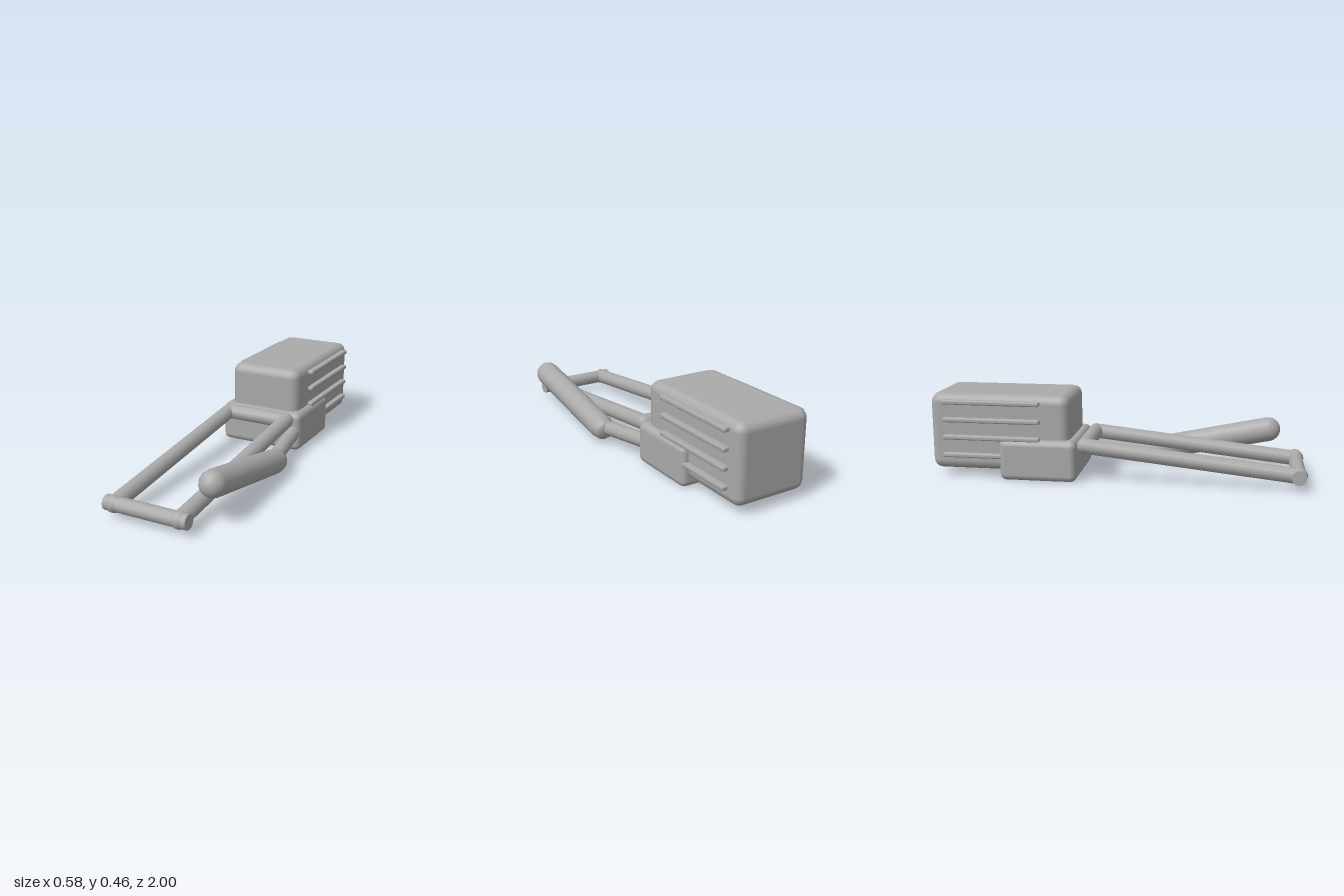
import * as THREE from 'three';
import { RoundedBoxGeometry } from 'three/addons/geometries/RoundedBoxGeometry.js';

export function createModel() {
  const model = new THREE.Group();
  model.name = 'poweredHandTool';
  const grey = new THREE.MeshStandardMaterial({ color: 0xaaaaaa });
  grey.name = 'plainGrey';
  const up = new THREE.Vector3(0, 1, 0);

  function add(name, geometry, x = 0, y = 0, z = 0) {
    const mesh = new THREE.Mesh(geometry, grey);
    mesh.name = name;
    mesh.position.set(x, y, z);
    model.add(mesh);
    return mesh;
  }

  // Rounded box given by its lower and upper corners
  function block(name, lo, hi, radius, segments = 2) {
    const size = hi.map((v, i) => v - lo[i]);
    const mid = hi.map((v, i) => (v + lo[i]) / 2);
    return add(name, new RoundedBoxGeometry(...size, segments, radius), ...mid);
  }

  // Round bar between two points
  function bar(name, a, b, radius, sides = 12) {
    const from = new THREE.Vector3(...a), to = new THREE.Vector3(...b);
    const dir = to.clone().sub(from);
    const mesh = add(name, new THREE.CylinderGeometry(radius, radius, dir.length(), sides),
      ...from.clone().add(to).multiplyScalar(0.5).toArray());
    mesh.quaternion.setFromUnitVectors(up, dir.normalize());
    return mesh;
  }

  // Motor housing and the gearbox under it
  block('motorHousing', [-0.257, 0.045, -1], [0.16, 0.46, -0.24], 0.05);
  block('gearbox', [-0.295, 0.003, -0.615], [0.195, 0.225, -0.2], 0.034);

  // Cooling ribs on both sides of the housing
  const centreX = -0.0485;
  for (const side of [-1, 1]) {
    for (const y of [0.418, 0.322, 0.227, 0.13]) {
      const x = centreX + side * 0.218;
      block('coolingRib', [x - 0.0195, y - 0.0125, -0.925], [x + 0.0195, y + 0.0125, -0.395], 0.009, 1);
    }
  }

  // Sloping rectangular frame
  const rear = { y: 0.195, z: -0.163 }, front = { y: 0.077, z: 0.955 };
  const leftX = 0.131, rightX = -0.232;
  for (const x of [leftX, rightX]) {
    bar('frameRail', [x, rear.y, rear.z], [x, front.y, front.z], 0.042);
    add('rearCorner', new THREE.SphereGeometry(0.042, 12, 8), x, rear.y, rear.z);
    add('frontCorner', new THREE.SphereGeometry(0.045, 12, 8), x, front.y, front.z);
  }
  bar('rearCrossbar', [rightX, rear.y, rear.z], [leftX, rear.y, rear.z], 0.042);
  bar('frontCrossbar', [-0.278, front.y, front.z], [0.182, front.y, front.z], 0.039);

  // Side arm joining the gearbox to the grip
  bar('gripArm', [0.148, 0.113, -0.25], [0.2, 0.083, 0.13], 0.04);

  // Grip: blunt rear end, domed front end
  const start = new THREE.Vector3(0.213, 0.068, 0.09);
  const end = new THREE.Vector3(0.222, 0.229, 0.87);
  const axis = end.clone().sub(start);
  const length = axis.length(), r = 0.069;
  const profile = [[0, 0], [0.038, 0], [0.058, 0.022], [0.067, 0.065]]
    .map(p => new THREE.Vector2(...p));
  for (let i = 0; i <= 5; i++) {
    const a = (i / 5) * Math.PI / 2;
    profile.push(new THREE.Vector2(r * Math.cos(a), length - r + r * Math.sin(a)));
  }
  const grip = add('grip', new THREE.LatheGeometry(profile, 14), ...start.toArray());
  grip.quaternion.setFromUnitVectors(up, axis.normalize());

  return model;
}
